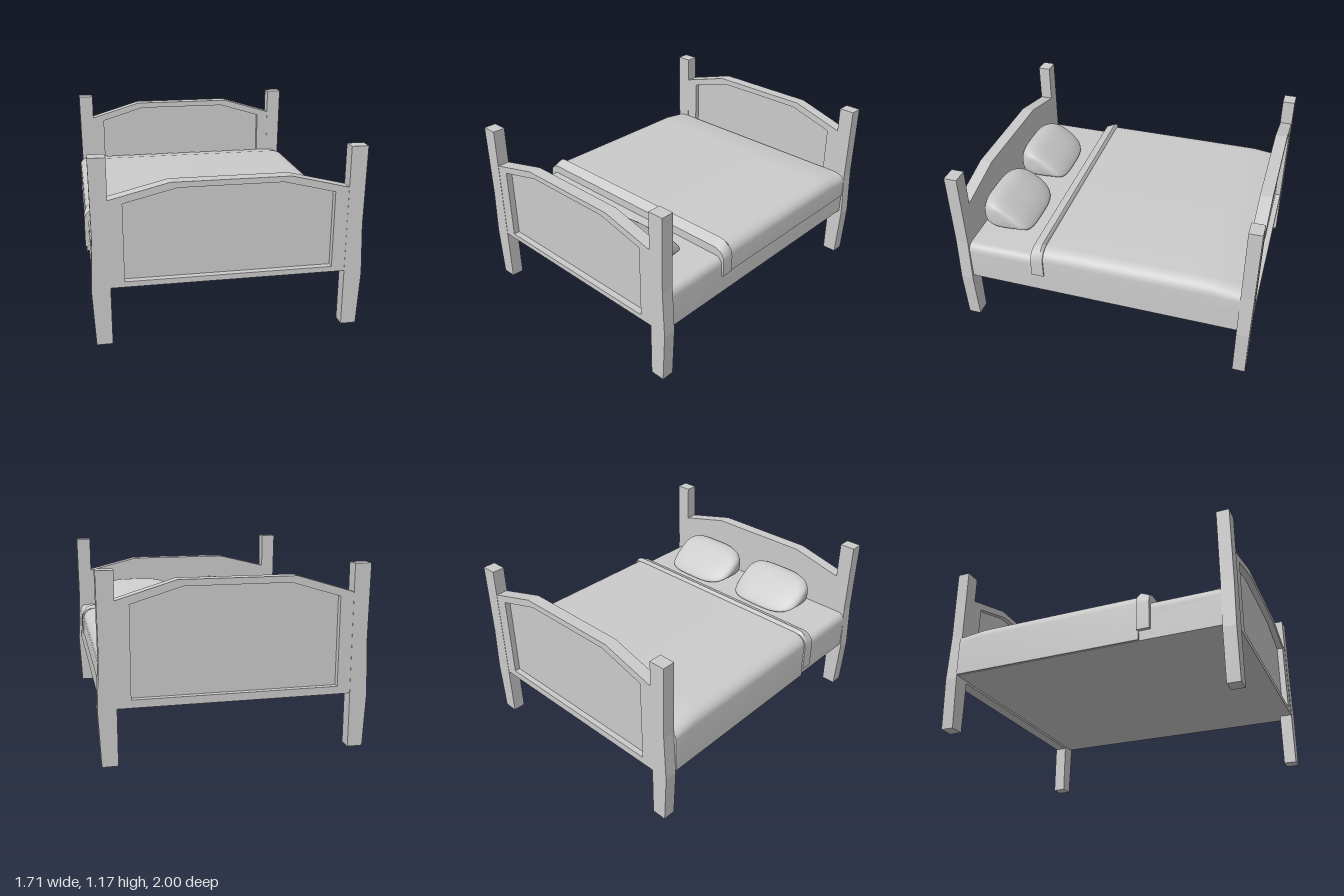
import * as THREE from 'three';
import { toCreasedNormals } from 'three/addons/utils/BufferGeometryUtils.js';

const material = new THREE.MeshStandardMaterial({ color: 0xcccccc });

function addMesh(parent, name, geometry) {
  const mesh = new THREE.Mesh(geometry, material);
  mesh.name = name;
  parent.add(mesh);
  return mesh;
}

// Extrude a shape along z between z0 and z1
function extrude(shape, z0, z1, steps = 1) {
  const g = new THREE.ExtrudeGeometry(shape, { depth: z1 - z0, steps, bevelEnabled: false, curveSegments: 8 });
  return g.translate(0, 0, z0);
}

const polygon = (pts) => new THREE.Shape(pts.map(([x, y]) => new THREE.Vector2(x, y)));

// Six-sided panel outline with a raised middle
const archPoints = (half, bottom, shoulder, breakX, top) => [
  [-half, bottom], [half, bottom], [half, shoulder], [breakX, top], [-breakX, top], [-half, shoulder],
];

// Cross-section of bedding: flat sides, rounded upper corners
function beddingShape(half, bottomLeft, bottomRight, top, rx, ry) {
  const s = new THREE.Shape();
  s.moveTo(-half, bottomRight);
  s.lineTo(half, bottomLeft);
  s.lineTo(half, top - ry);
  s.bezierCurveTo(half, top - ry * 0.4, half - rx * 0.4, top, half - rx, top);
  s.lineTo(-half + rx, top);
  s.bezierCurveTo(-half + rx * 0.4, top, -half, top - ry * 0.4, -half, top - ry);
  s.closePath();
  return s;
}

// Lower the upper vertices by an amount depending on z
function lowerTop(g, from, top, drop) {
  const p = g.attributes.position;
  for (let i = 0; i < p.count; i++) {
    const k = THREE.MathUtils.clamp((p.getY(i) - from) / (top - from), 0, 1);
    p.setY(i, p.getY(i) - k * drop(p.getZ(i)));
  }
  return toCreasedNormals(g, 0.7);
}

// Pillow: a leaning side profile swept along x and closed towards both ends
function pillowGeometry() {
  const profile = [[0.915, 0.68], [0.915, 0.79], [0.885, 0.84], [0.81, 0.842], [0.7, 0.78],
    [0.605, 0.705], [0.565, 0.645], [0.62, 0.635], [0.86, 0.635]];
  const curve = new THREE.CatmullRomCurve3(profile.map(([z, y]) => new THREE.Vector3(0, y, z)), true);
  const around = 32, along = 28, cy = 0.73, cz = 0.74;
  const ring = curve.getPoints(around);
  const positions = [], index = [];
  for (let i = 0; i <= along; i++) {
    const u = -Math.cos((Math.PI * i) / along);
    const e = u < 0 ? 2.8 : 4.5;
    const s = Math.pow(Math.max(0, 1 - Math.pow(Math.abs(u), e)), 1 / e);
    for (let j = 0; j < around; j++) {
      positions.push(u * 0.27, cy + (ring[j].y - cy) * s, cz + (ring[j].z - cz) * s);
    }
  }
  for (let i = 0; i < along; i++) {
    for (let j = 0; j < around; j++) {
      const a = i * around + j, b = i * around + ((j + 1) % around);
      const c = a + around, d = b + around;
      index.push(a, c, b, b, c, d);
    }
  }
  const g = new THREE.BufferGeometry();
  g.setAttribute('position', new THREE.Float32BufferAttribute(positions, 3));
  g.setIndex(index);
  g.computeVertexNormals();
  return g;
}

export function createModel() {
  const bed = new THREE.Group();
  bed.name = 'bed';

  const frame = new THREE.Group();
  frame.name = 'frame';
  frame.position.x = 0.005;
  bed.add(frame);

  // Corner posts, slightly swollen on the outer side
  const postProfile = [[0.73, 0], [0.828, 0], [0.845, 0.35], [0.83, 0.67], [0.835, 1.175], [0.73, 1.175]];
  for (const [end, z0] of [['head', 0.915], ['foot', -1]]) {
    for (const [side, sx] of [['Left', 1], ['Right', -1]]) {
      const pts = postProfile.map(([x, y]) => [x * sx, y]);
      addMesh(frame, `${end}${side}Post`, extrude(polygon(pts), z0, z0 + 0.085));
    }
  }

  // End boards: an arched border around a recessed panel
  function endBoard(name, outer, inner, border, panel) {
    const shape = polygon(outer);
    shape.holes.push(new THREE.Path(inner.map(([x, y]) => new THREE.Vector2(x, y))));
    addMesh(frame, `${name}Border`, extrude(shape, ...border));
    addMesh(frame, `${name}Panel`, extrude(polygon(inner), ...panel));
  }
  endBoard('headboard', archPoints(0.73, 0.37, 0.92, 0.365, 1.01),
    archPoints(0.645, 0.405, 0.895, 0.32, 0.975), [0.915, 0.998], [0.915, 0.955]);
  endBoard('footboard', archPoints(0.73, 0.355, 1.0, 0.365, 1.11),
    archPoints(0.645, 0.405, 0.975, 0.33, 1.07), [-0.998, -0.917], [-0.96, -0.95]);

  // Mattress
  addMesh(bed, 'mattress', toCreasedNormals(
    extrude(beddingShape(0.83, 0.37, 0.37, 0.637, 0.05, 0.06), -0.916, 0.916), 0.7));

  // Blanket, hanging lower on the right and sinking a little at the foot end
  const blanket = extrude(beddingShape(0.84, 0.5, 0.372, 0.703, 0.1, 0.08), -0.916, 0.39, 15);
  addMesh(bed, 'blanket', lowerTop(blanket, 0.6, 0.703,
    (z) => 0.028 * THREE.MathUtils.clamp((-0.74 - z) / 0.175, 0, 1))).position.x = -0.005;

  // Turned-back fold across the blanket, highest near its foot-side edge
  const fold = extrude(beddingShape(0.85, 0.505, 0.435, 0.727, 0.09, 0.11), 0.383, 0.467, 5);
  addMesh(bed, 'blanketFold', lowerTop(fold, 0.6, 0.727,
    (z) => (z > 0.4 ? (z - 0.4) * 0.5 : (0.4 - z) * 1.2))).position.x = -0.005;

  // Pillows
  const pillow = pillowGeometry();
  addMesh(bed, 'leftPillow', pillow).position.x = 0.355;
  addMesh(bed, 'rightPillow', pillow).position.x = -0.295;

  return bed;
}
